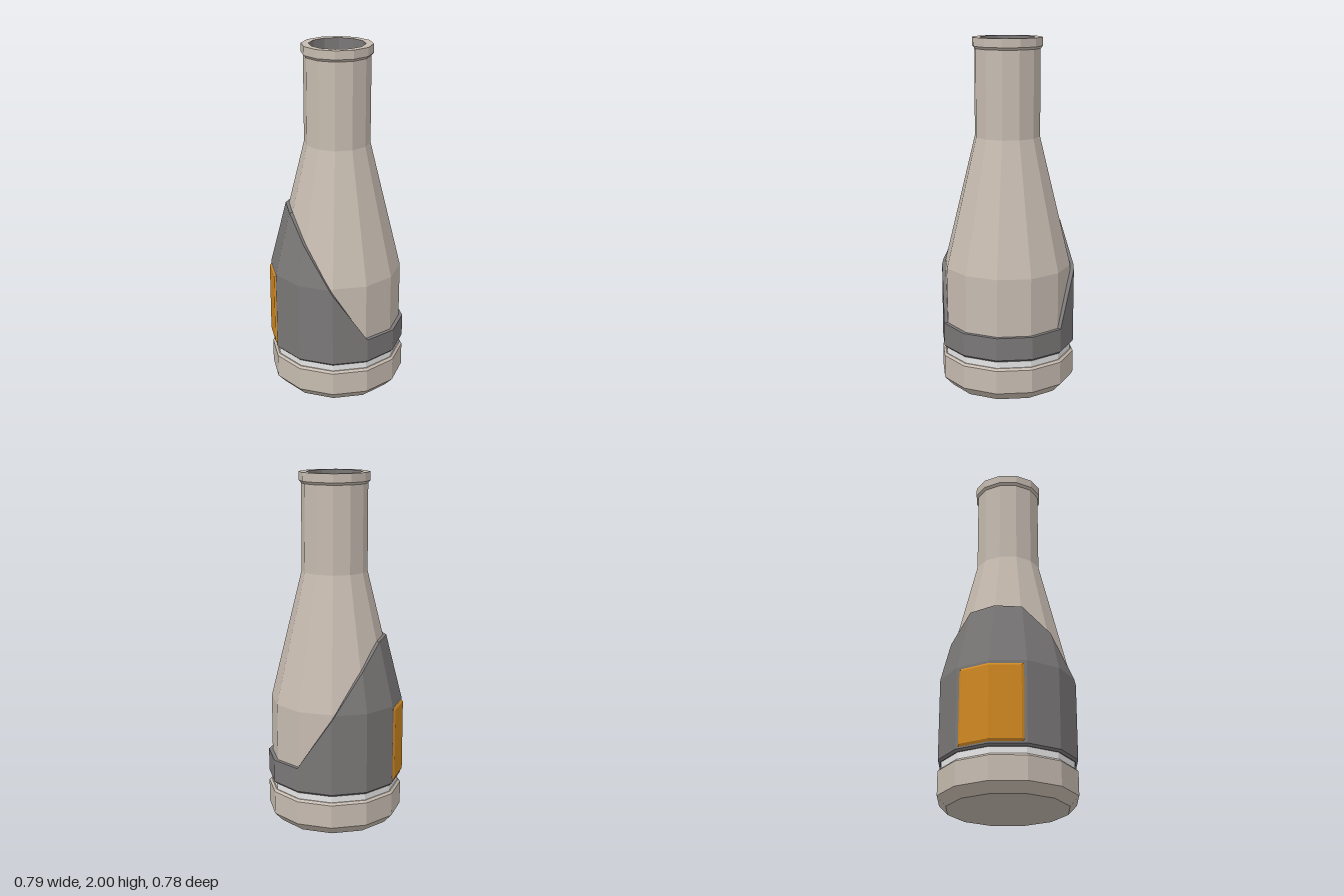
import * as THREE from 'three';

const SIDES = 12;
const R = 0.388;        // outer radius of sleeve and base
const SHOULDER = 0.71;  // height where the body starts to taper

const paint = (name, color) => {
  const m = new THREE.MeshStandardMaterial({ color });
  m.name = name;
  return m;
};

// Facet a geometry so that every side reads as a flat plane
function facet(geometry) {
  const g = geometry.index ? geometry.toNonIndexed() : geometry;
  g.computeVertexNormals();
  return g;
}

// Twelve-sided turned part; profile runs upwards for an outside surface
function turned(profile) {
  return facet(new THREE.LatheGeometry(profile.map(([r, y]) => new THREE.Vector2(r, y)), SIDES));
}

// Surface through columns of points (columns anticlockwise seen from above, points upwards)
function skin(columns) {
  const pos = [];
  for (let i = 0; i < columns.length - 1; i++) {
    for (let j = 0; j < columns[i].length - 1; j++) {
      const a = columns[i][j], b = columns[i + 1][j];
      const c = columns[i + 1][j + 1], d = columns[i][j + 1];
      pos.push(...a, ...b, ...c, ...a, ...c, ...d);
    }
  }
  const g = new THREE.BufferGeometry();
  g.setAttribute('position', new THREE.Float32BufferAttribute(pos, 3));
  return facet(g);
}

// Point on the unit twelve-sided outline, k in sides (fractions lie on a flat side)
function outline(k) {
  const i = Math.floor(k), t = k - i, step = (Math.PI * 2) / SIDES;
  const mix = f => f(i * step) * (1 - t) + f((i + 1) * step) * t;
  return [mix(Math.sin), mix(Math.cos)];
}

const bodyRadius = y => 0.366 - 0.243 * Math.max(0, y - SHOULDER);
const sleeveRadius = y => R - 0.25 * Math.max(0, y - SHOULDER);

// Sleeve whose top is a slanting cut, high on the -x side and level on the +x side
function sleeveGeometry() {
  const ks = [0, 1, 2, 3, 4, 5, 6, 6.1, 7, 8, 9, 10, 11, 11.9, 12];
  return skin(ks.map(k => {
    const [ux, uz] = outline(k);
    let top = SHOULDER;
    for (let n = 0; n < 20; n++) top = 0.68 - 1.52 * ux * sleeveRadius(top);
    top = THREE.MathUtils.clamp(top, 0.38, 1.08);
    const rows = [
      [0.355, 0.238], [R - 0.012, 0.238], [R, 0.25],
      [R, Math.min(SHOULDER, top)],
      [sleeveRadius(top), top], [bodyRadius(top) - 0.006, top],
    ];
    return rows.map(([r, y]) => [ux * r, y, uz * r]);
  }));
}

// Thin bevelled plate folded round the -x corner of the sleeve
function labelGeometry() {
  const zs = [-0.18, -0.168, 0, 0.168, 0.18];
  const ys = [0.258, 0.272, 0.682, 0.696];
  return skin(zs.map((z, i) => ys.map((y, j) => {
    const edge = i === 0 || i === 4 || j === 0 || j === 3;
    const x = -R + 0.268 * Math.abs(z);
    return [x - (edge ? -0.001 : 0.009), y, z];
  })));
}

export function createModel() {
  const cream = paint('warm stone', 0xc6bbb0);
  const grey = paint('dark grey', 0x7a7777);
  const white = paint('pale band', 0xe6e6e6);
  const orange = paint('amber', 0xd08822);

  const model = new THREE.Group();
  model.name = 'bottle';
  const add = (name, geometry, material) => {
    const mesh = new THREE.Mesh(geometry, material);
    mesh.name = name;
    model.add(mesh);
  };

  // Base with chamfered foot
  add('base', turned([
    [0, 0], [0.338, 0], [R, 0.053], [R, 0.187], [R - 0.012, 0.199], [0.355, 0.199],
  ]), cream);

  // Recessed pale band between base and sleeve
  add('band', turned([[0.37, 0.19], [0.37, 0.245]]), white);

  // Body, tapering shoulder, neck and rim
  add('body', turned([
    [0.366, 0.3], [0.366, SHOULDER], [0.186, 1.45], [0.186, 1.938],
    [0.198, 1.952], [0.198, 2], [0.156, 2],
  ]), cream);

  // Inside of the neck
  add('neckInside', turned([[0.156, 2], [0.156, 1.6], [0, 1.6]]), grey);

  add('sleeve', sleeveGeometry(), grey);
  add('label', labelGeometry(), orange);

  // Centre the whole, as the label stands out on one side only
  model.children.forEach(m => { m.position.x = 0.004; });
  return model;
}
